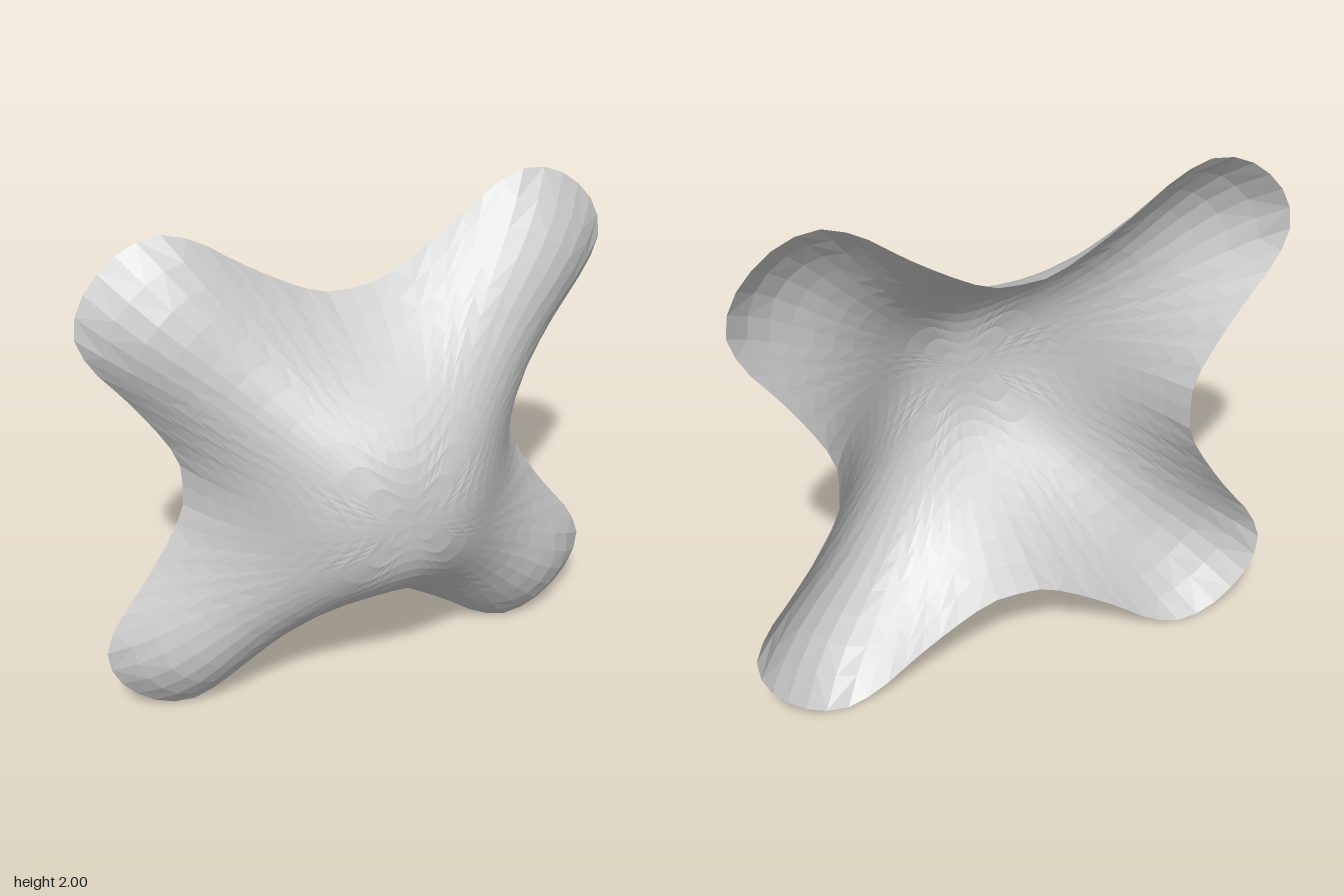
import * as THREE from 'three';

const SEGMENTS = 96, RINGS = 12, HEIGHT = 0.56, BACK = -0.28;

// Four-lobed rim: one eighth is given, then mirrored and turned
function rimPoints() {
  const eighth = [[0, 0.66], [0.1, 0.668], [0.22, 0.725], [0.4, 0.84], [0.55, 0.95],
    [0.68, 1], [0.8, 0.973]];
  const mirrored = eighth.slice(1).reverse().map(([x, y]) => [y, x]);
  const quarter = [...eighth, [0.9, 0.9], ...mirrored];
  const points = [];
  for (let q = 0; q < 4; q++) {
    const c = Math.cos(q * Math.PI / 2), s = Math.sin(q * Math.PI / 2);
    for (const [x, y] of quarter) points.push(new THREE.Vector3(x * c + y * s, y * c - x * s, 0));
  }
  const curve = new THREE.CatmullRomCurve3(points, true);
  return curve.getSpacedPoints(SEGMENTS).slice(0, SEGMENTS);
}

// Flat sheet of concentric rings that shrink from the rim to the centre
function flatSheet() {
  const rim = rimPoints();
  const verts = [new THREE.Vector3()], tris = [];
  const at = (k, j) => 1 + (k - 1) * SEGMENTS + j % SEGMENTS;
  for (let k = 1; k <= RINGS; k++) {
    for (const p of rim) verts.push(p.clone().multiplyScalar(k / RINGS));
  }
  for (let j = 0; j < SEGMENTS; j++) {
    tris.push([0, at(1, j + 1), at(1, j)]);
    for (let k = 1; k < RINGS; k++) {
      const a = at(k, j), b = at(k, j + 1), c = at(k + 1, j + 1), d = at(k + 1, j);
      if (j % 2) tris.push([a, b, c], [a, c, d]);
      else tris.push([a, b, d], [b, c, d]);
    }
  }
  return { verts, tris };
}

// Inflate the sheet like a membrane held at the rim, with more pressure in the lobes
function inflate({ verts, tris }) {
  const links = verts.map(() => new Map());
  const load = verts.map(() => 0);
  const addLink = (i, j, w) => links[i].set(j, (links[i].get(j) || 0) + w);
  for (const t of tris) {
    for (let n = 0; n < 3; n++) {
      const i = t[n], j = t[(n + 1) % 3], k = t[(n + 2) % 3];
      const e = verts[i].clone().sub(verts[k]), f = verts[j].clone().sub(verts[k]);
      const cross = Math.abs(e.x * f.y - e.y * f.x);
      const w = e.dot(f) / cross / 2;
      addLink(i, j, w);
      addLink(j, i, w);
      const pressure = 1 + 0.75 * THREE.MathUtils.smoothstep(verts[k].length(), 0.75, 1.1);
      load[k] += pressure * cross / 6;
    }
  }
  const free = verts.length - SEGMENTS;
  const lists = links.map((m) => [...m]);
  const u = new Float64Array(verts.length);
  for (let pass = 0; pass < 2500; pass++) {
    for (let i = 0; i < free; i++) {
      let sum = load[i], total = 0;
      for (const [j, w] of lists[i]) {
        sum += w * u[j];
        total += w;
      }
      u[i] += 1.6 * (sum / total - u[i]);
    }
  }
  // The crown is broadened a little
  verts.forEach((v, i) => {
    const h = u[i] / u[0];
    v.z = BACK + HEIGHT * (h + 0.9 * h ** 8 * (1 - h));
  });
}

export function createModel() {
  const sheet = flatSheet();
  inflate(sheet);

  const geometry = new THREE.BufferGeometry().setFromPoints(sheet.verts);
  geometry.setIndex(sheet.tris.flat());
  geometry.translate(0, 1, 0);
  geometry.computeVertexNormals();

  // Open, thin shell with faceted shading
  const shell = new THREE.Mesh(geometry, new THREE.MeshStandardMaterial({
    color: 0xcccccc, flatShading: true, side: THREE.DoubleSide,
  }));
  shell.name = 'inflatedShell';

  const group = new THREE.Group();
  group.name = 'fourLobedShell';
  group.add(shell);
  return group;
}
